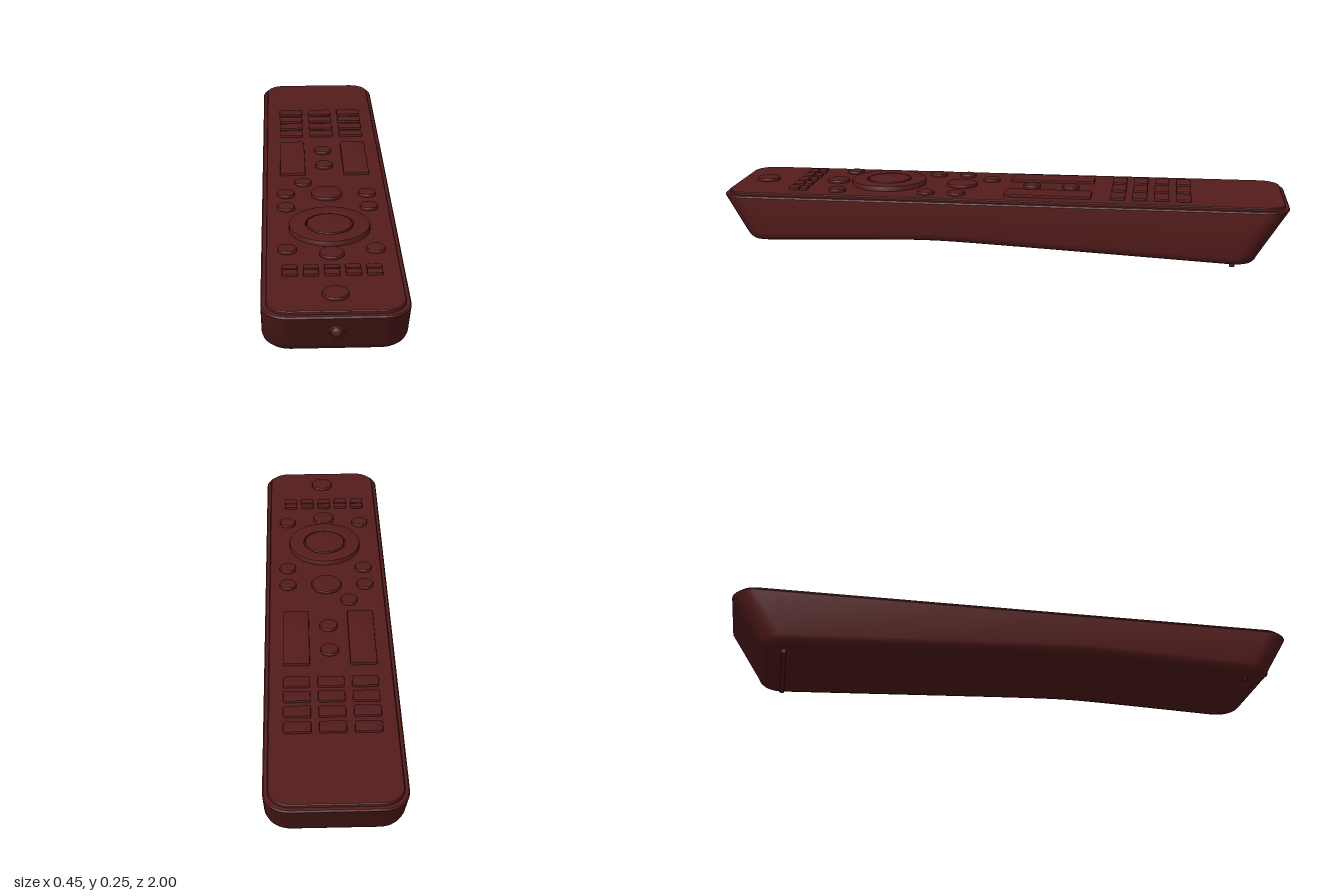
import * as THREE from 'three';
import { toCreasedNormals } from 'three/addons/utils/BufferGeometryUtils.js';

const TOP = 0.222; // height of the key deck

// Underside: two gentle slopes meeting in a soft ridge
function underside(z) {
  const a = 0.068 - 0.037 * (z - 0.25), b = 0.068 + 0.05 * (z - 0.25);
  return (a + b) / 2 - Math.hypot(a - b, 0.008) / 2;
}

// Right half of a rounded rectangle, running from the front to the back
function halfOutline(hx, zFront, zBack, r) {
  const pts = [], arc = 10, side = 32;
  for (let i = 0; i <= arc; i++) {
    const t = (i / arc) * Math.PI / 2;
    pts.push([hx - r + r * Math.sin(t), zFront - r + r * Math.cos(t)]);
  }
  for (let i = 1; i < side; i++) pts.push([hx, THREE.MathUtils.lerp(zFront - r, zBack + r, i / side)]);
  for (let i = 0; i <= arc; i++) {
    const t = (i / arc) * Math.PI / 2;
    pts.push([hx - r + r * Math.cos(t), zBack + r - r * Math.sin(t)]);
  }
  return pts;
}

// Shell lofted through stacked rounded outlines, capped above and below
function shellGeometry() {
  const fixed = y => () => y;
  const above = d => z => underside(z) + d;
  const rings = [
    [0.207, 0.982, -0.982, 0.068, fixed(TOP)],
    [0.210, 0.985, -0.985, 0.071, fixed(0.219)],
    [0.210, 0.985, -0.985, 0.071, fixed(0.211)],
    [0.221, 0.996, -0.996, 0.080, fixed(0.210)],
    [0.225, 1.000, -1.000, 0.084, fixed(0.205)],
    [0.224, 0.925, -0.897, 0.084, above(0.032)],
    [0.219, 0.916, -0.889, 0.080, above(0.016)],
    [0.210, 0.906, -0.880, 0.075, above(0.006)],
    [0.192, 0.888, -0.863, 0.065, above(0)],
  ];
  const pos = [], idx = [];
  let n = 0;
  for (const [hx, zf, zb, r, y] of rings) {
    const half = halfOutline(hx, zf, zb, r);
    n = half.length;
    half.forEach(([x, z]) => pos.push(x, y(z), z));
    half.reverse().forEach(([x, z]) => pos.push(-x, y(z), z));
  }
  const m = 2 * n;
  for (let k = 0; k < rings.length - 1; k++) {
    for (let i = 0; i < m; i++) {
      const j = (i + 1) % m, t = k * m, b = t + m;
      idx.push(b + i, b + j, t + j, b + i, t + j, t + i);
    }
  }
  const last = (rings.length - 1) * m;
  for (let i = 0; i < n - 1; i++) {
    const l = m - 1 - i;
    idx.push(i, i + 1, l - 1, i, l - 1, l);
    idx.push(last + i, last + l - 1, last + i + 1, last + i, last + l, last + l - 1);
  }
  const g = new THREE.BufferGeometry();
  g.setAttribute('position', new THREE.Float32BufferAttribute(pos, 3));
  g.setIndex(idx);
  return toCreasedNormals(g, 0.6);
}

// Rectangular key with rounded corners and a bevelled top edge
function keyGeometry(w, d, h, r) {
  const bevel = 0.003, x = w / 2 - bevel, y = d / 2 - bevel;
  const s = new THREE.Shape();
  s.moveTo(-x + r, -y);
  s.lineTo(x - r, -y).quadraticCurveTo(x, -y, x, -y + r);
  s.lineTo(x, y - r).quadraticCurveTo(x, y, x - r, y);
  s.lineTo(-x + r, y).quadraticCurveTo(-x, y, -x, y - r);
  s.lineTo(-x, -y + r).quadraticCurveTo(-x, -y, -x + r, -y);
  const g = new THREE.ExtrudeGeometry(s, {
    depth: h, bevelThickness: bevel, bevelSize: bevel, bevelSegments: 2, curveSegments: 4,
  });
  g.translate(0, 0, -bevel).rotateX(-Math.PI / 2);
  return toCreasedNormals(g, 0.5);
}

// Turned part from [radius, height] pairs, bottom to top
function turned(profile, segments = 40) {
  const g = new THREE.LatheGeometry(profile.map(p => new THREE.Vector2(...p)), segments);
  return toCreasedNormals(g, 0.5);
}

const roundKey = (r, h) => turned([[r, -0.004], [r, h - 0.004], [r - 0.002, h - 0.001], [r - 0.006, h], [0, h]]);

export function createModel() {
  const group = new THREE.Group();
  const material = new THREE.MeshStandardMaterial({ color: 0x551c1c });
  const add = (name, geometry, x = 0, y = 0, z = 0) => {
    const mesh = new THREE.Mesh(geometry, material);
    mesh.name = name;
    mesh.position.set(x, y, z);
    group.add(mesh);
    return mesh;
  };

  add('body', shellGeometry());

  // Number pad
  const numberKey = keyGeometry(0.09, 0.052, 0.009, 0.006);
  for (const z of [-0.638, -0.561, -0.485, -0.409])
    for (const x of [-0.115, 0, 0.115]) add('numberKey', numberKey, x, TOP, z);

  // Long rocker keys
  const rocker = keyGeometry(0.092, 0.306, 0.01, 0.006);
  for (const x of [-0.115, 0.115]) add('rockerKey', rocker, x, TOP, -0.163);

  // Round keys: x, z, radius
  const rounds = [
    [0, -0.235, 0.032], [0, -0.095, 0.032], [-0.08, 0.062, 0.031], [0, 0.16, 0.055],
    [0, 0.62, 0.04], [0, 0.885, 0.041],
  ];
  for (const z of [0.16, 0.27, 0.59]) rounds.push([-0.142, z, 0.031], [0.142, z, 0.031]);
  for (const [x, z, r] of rounds) add('roundKey', roundKey(r, 0.011), x, TOP, z);

  // Navigation dial with its centre key
  add('dialRing', turned([
    [0.135, -0.004], [0.135, 0.013], [0.133, 0.017], [0.128, 0.019],
    [0.083, 0.019], [0.08, 0.017], [0.08, 0.004],
  ], 64), 0, TOP, 0.43);
  add('dialCentre', roundKey(0.076, 0.02), 0, TOP, 0.43);

  // Two rows of small function keys
  const smallKey = keyGeometry(0.049, 0.027, 0.009, 0.004);
  const slimKey = keyGeometry(0.049, 0.034, 0.009, 0.004);
  for (let i = 0; i < 5; i++) {
    const x = (i - 2) * 0.066 - 0.004;
    add('functionKey', smallKey, x, TOP, 0.715);
    add('functionKey', slimKey, x, TOP, 0.75);
  }

  // Signal lamp in a collar on the sloping front
  const collar = add('lampCollar', new THREE.TorusGeometry(0.022, 0.005, 10, 32), 0, 0.145, 0.966);
  collar.rotation.x = 0.5;
  add('signalLamp', new THREE.SphereGeometry(0.019, 24, 16), 0, 0.147, 0.971);

  // Feet: a rib across the back and two nubs at the front
  add('rearFoot', keyGeometry(0.34, 0.018, 0.015, 0.004), 0, 0.003, -0.81);
  for (const x of [-0.15, 0.15]) {
    const nub = add('frontFoot', new THREE.SphereGeometry(0.01, 16, 10), x, 0.045, 0.84);
    nub.scale.y = 0.8;
  }
  return group;
}
